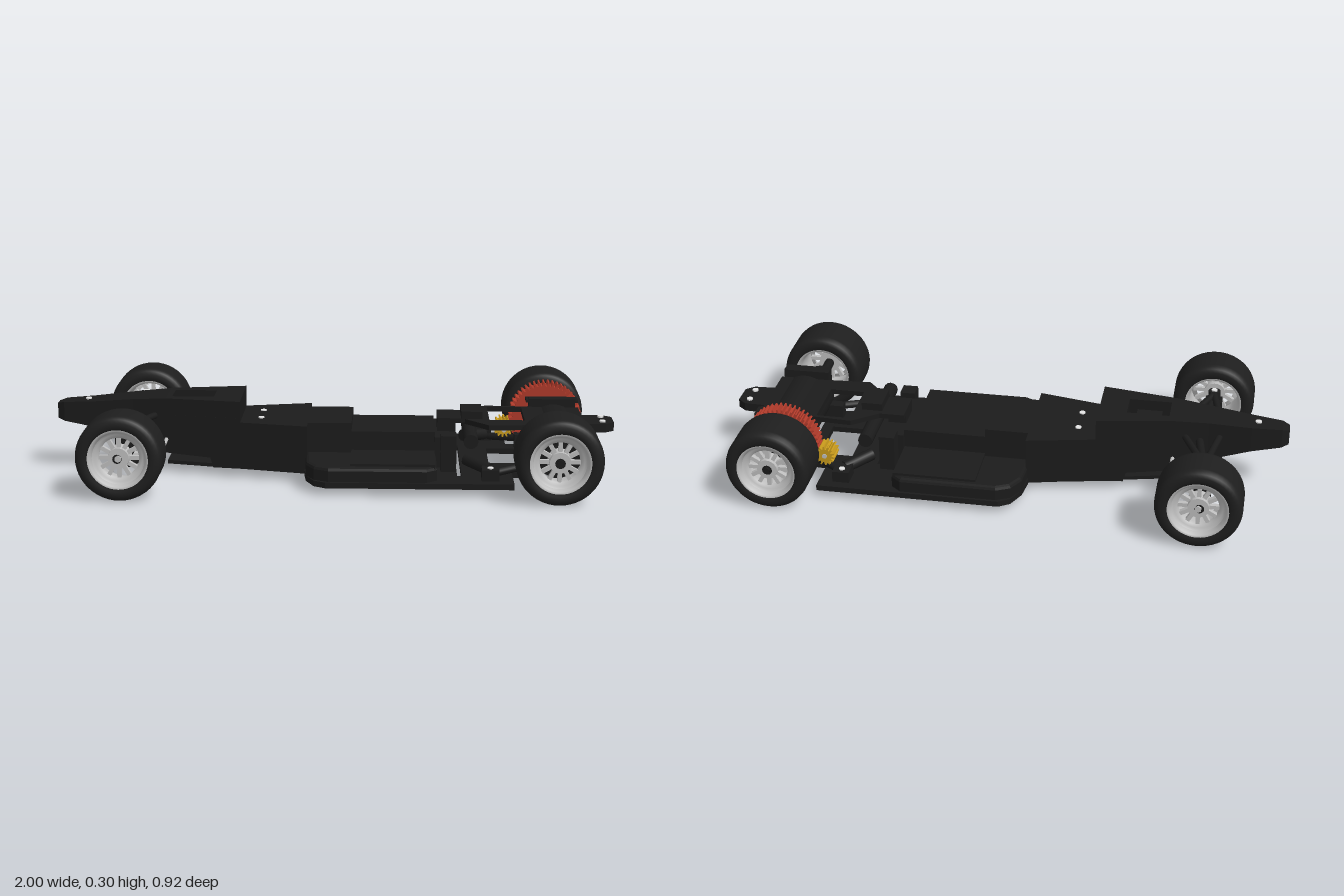
import * as THREE from 'three';

const mat = (name, color, side = THREE.FrontSide) => {
  const m = new THREE.MeshStandardMaterial({ color, side });
  m.name = name;
  return m;
};

export function createModel() {
  const root = new THREE.Group();
  const black = mat('chassis black', 0x1b1b1b);
  const rubber = mat('tyre rubber', 0x1e1e1e);
  const silver = mat('rim silver', 0xbebebe, THREE.DoubleSide);
  const red = mat('gear red', 0xb03a2a);
  const brass = mat('pinion brass', 0xc89a1c);
  const white = mat('screw white', 0xe4e4e4);

  const add = (name, geo, m = black, parent = root) => {
    const mesh = new THREE.Mesh(geo, m);
    mesh.name = name;
    parent.add(mesh);
    return mesh;
  };
  const box = (name, x0, x1, y0, y1, z0, z1) =>
    add(name, new THREE.BoxGeometry(x1 - x0, y1 - y0, z1 - z0))
      .position.set((x0 + x1) / 2, (y0 + y1) / 2, (z0 + z1) / 2);
  // cylinder between two points
  const bar = (name, a, b, r, m = black, n = 12) => {
    const p = new THREE.Vector3(...a), q = new THREE.Vector3(...b);
    const mesh = add(name, new THREE.CylinderGeometry(r, r, p.distanceTo(q), n), m);
    mesh.position.copy(p).add(q).multiplyScalar(0.5);
    mesh.quaternion.setFromUnitVectors(new THREE.Vector3(0, 1, 0), q.sub(p).normalize());
  };
  // horizontal plate from [x, z] outline points; holes run the opposite way round
  const outline = pts => pts.map(([x, z]) => new THREE.Vector2(x, -z));
  const plate = (name, pts, y0, y1, holes = [], m = black, bevel = 0) => {
    const shape = new THREE.Shape(outline(pts));
    holes.forEach(h => shape.holes.push(new THREE.Path(outline(h).reverse())));
    const geo = new THREE.ExtrudeGeometry(shape, {
      depth: y1 - y0 - bevel, bevelEnabled: bevel > 0, bevelSize: bevel,
      bevelThickness: bevel, bevelOffset: -bevel, bevelSegments: 2
    });
    geo.rotateX(-Math.PI / 2).translate(0, y0, 0);
    add(name, geo, m);
  };
  const rect = (x0, x1, z0, z1) => [[x0, z0], [x1, z0], [x1, z1], [x0, z1]];
  // box-section loft along x; rows are [x, halfWidth, bottom, top]
  const loft = (name, rows) => {
    const v = [];
    const rings = rows.map(([x, w, b, t]) => [[x, b, w], [x, t, w], [x, t, -w], [x, b, -w]]);
    const quad = (a, b, c, d) => v.push(...a, ...b, ...c, ...a, ...c, ...d);
    for (let i = 0; i < rings.length - 1; i++)
      for (let k = 0; k < 4; k++) {
        const n = (k + 1) % 4, p = rings[i], q = rings[i + 1];
        quad(p[k], q[k], q[n], p[n]);
      }
    quad(...rings[0]);
    quad(...rings[rings.length - 1].slice().reverse());
    const geo = new THREE.BufferGeometry();
    geo.setAttribute('position', new THREE.Float32BufferAttribute(v, 3));
    geo.computeVertexNormals();
    add(name, geo);
  };
  const screw = (x, y, z) => bar('screw', [x, y - 0.01, z], [x, y + 0.004, z], 0.011, white);

  // Nose and monocoque
  loft('nose', [[-1, 0.02, 0.19, 0.245], [-0.975, 0.035, 0.182, 0.252], [-0.87, 0.05, 0.165, 0.258],
    [-0.72, 0.066, 0.125, 0.272], [-0.6, 0.085, 0.08, 0.28]]);
  loft('tubLower', [[-0.6, 0.085, 0.08, 0.22], [-0.44, 0.112, 0.07, 0.22], [-0.43, 0.114, 0.035, 0.22],
    [-0.33, 0.13, 0.035, 0.22]]);
  plate('cockpitRim', [[-0.6, -0.085], [-0.33, -0.13], [-0.33, 0.13], [-0.6, 0.085]], 0.22, 0.28,
    [rect(-0.58, -0.43, -0.05, 0.05)]);
  box('servo', -0.55, -0.46, 0.22, 0.25, -0.035, 0.035);
  loft('rearDeck', [[-0.33, 0.13, 0.035, 0.205], [-0.09, 0.18, 0.035, 0.205]]);
  box('centreCover', -0.09, 0.065, 0.04, 0.205, -0.125, 0.125);
  box('batteryLid', 0.065, 0.36, 0.04, 0.175, -0.125, 0.125);
  plate('bottomPlate', [[-0.6, -0.06], [-0.3, -0.13], [-0.09, -0.18], [-0.09, 0.18], [-0.3, 0.13], [-0.6, 0.06]], 0.033, 0.046);
  [-0.055, 0.055].forEach(z => screw(-0.26, 0.205, z));
  screw(-0.89, 0.258, 0);

  // Floor pan with slots around the rear T-bar
  plate('floorPan', [[-0.1, -0.18], [-0.09, -0.26], [-0.06, -0.325], [-0.02, -0.35], [0.63, -0.35], [0.63, -0.2],
    [0.72, -0.19], [0.72, 0.19], [0.63, 0.2], [0.63, 0.35], [-0.02, 0.35], [-0.06, 0.325], [-0.09, 0.26], [-0.1, 0.18]],
    0.03, 0.05, [rect(0.555, 0.68, -0.13, 0.07), rect(0.437, 0.452, -0.17, 0.25)]);

  for (const s of [-1, 1]) {
    // Side pods: rounded front piece and flat cover
    plate('sidePod', [[-0.1, 0.12], [-0.09, 0.26], [-0.06, 0.315], [-0.01, 0.34], [0.33, 0.34], [0.365, 0.31], [0.365, 0.12]]
      .map(([x, z]) => [x, z * s]), 0.05, 0.1, [], black, 0.012);
    box('podCover', 0.065, 0.36, 0.09, 0.108, s * 0.22 - 0.095, s * 0.22 + 0.095);

    // Rear pod mounts and links
    box('mountBlock', 0.38, 0.435, 0.05, 0.18, s * 0.17 - 0.03, s * 0.17 + 0.03);
    box('rearMount', 0.52, 0.58, 0.05, 0.09, s * 0.28 - 0.035, s * 0.28 + 0.035);
    screw(0.55, 0.09, s * 0.29);
    bar('sideLink', [0.55, 0.075, s * 0.25], [0.47, 0.09, s * 0.17], 0.022);
    bar('sideLinkRear', [0.56, 0.065, s * 0.26], [0.74, 0.08, s * 0.16], 0.014);
    box('podSideRail', 0.66, 0.9, 0.05, 0.1, s * 0.16 - 0.02, s * 0.16 + 0.02);
    box('motorPlate', 0.71, 0.88, 0.06, 0.235, s * 0.167 - 0.022, s * 0.167 + 0.022);
    box('diffuserFence', 0.78, 0.95, 0.035, 0.12, s * 0.07 - 0.005, s * 0.07 + 0.005);
    screw(0.96, 0.198, s * 0.035);

    // Front suspension
    bar('kingpin', [-0.72, 0.08, s * 0.27], [-0.72, 0.225, s * 0.27], 0.022);
    box('upright', -0.75, -0.69, 0.11, 0.19, s * 0.27 - 0.025, s * 0.27 + 0.025);
    bar('stubAxle', [-0.72, 0.15, s * 0.26], [-0.72, 0.15, s * 0.44], 0.016);
    for (const x of [-0.76, -0.63]) {
      bar('upperArm', [-0.72, 0.215, s * 0.26], [x, 0.215, s * 0.05], 0.012);
      bar('lowerArm', [-0.72, 0.085, s * 0.27], [x + 0.02, 0.085, s * 0.04], 0.013);
    }
    bar('damper', [-0.72, 0.2, s * 0.26], [-0.69, 0.2, s * 0.06], 0.014);
    bar('tieRod', [-0.6, 0.12, s * 0.25], [-0.6, 0.13, s * 0.08], 0.007, silver);
    plate('steeringArm', [[-0.71, 0.24], [-0.71, 0.28], [-0.61, 0.275], [-0.588, 0.26], [-0.59, 0.225], [-0.62, 0.22]]
      .map(([x, z]) => [x, z * s]), 0.112, 0.127, [], silver);
    screw(-0.72, 0.226, s * 0.27);
  }
  box('lowerArmBeam', -0.77, -0.6, 0.075, 0.13, -0.06, 0.06);

  // Rear upper deck, crossbar, motor and tail
  box('bulkhead', 0.36, 0.435, 0.04, 0.16, -0.14, 0.14);
  box('deckMount', 0.455, 0.53, 0.195, 0.235, -0.06, 0.06);
  plate('upperDeck', [[0.37, -0.08], [0.46, -0.08], [0.55, -0.15], [0.72, -0.14], [0.72, 0.14], [0.55, 0.15],
    [0.46, 0.05], [0.37, 0.05]], 0.19, 0.208, [rect(0.555, 0.68, -0.13, 0.07)]);
  bar('crossTube', [0.485, 0.16, -0.2], [0.485, 0.16, 0.2], 0.026);
  box('deckPost', 0.37, 0.435, 0.15, 0.2, -0.05, 0.05);
  bar('motor', [0.8, 0.122, -0.19], [0.8, 0.122, 0.19], 0.094, black, 32);
  box('motorTop', 0.72, 0.89, 0.17, 0.205, -0.145, 0.145);
  box('gearGuard', 0.7, 0.89, 0.222, 0.232, -0.199, -0.145);
  plate('tailMount', [[0.86, -0.07], [0.97, -0.065], [1, -0.04], [1, 0.04], [0.97, 0.065], [0.86, 0.07]], 0.165, 0.196);
  bar('rearAxle', [0.775, 0.15, -0.44], [0.775, 0.15, 0.44], 0.018);
  bar('axleCarrier', [0.775, 0.165, 0.18], [0.775, 0.165, 0.265], 0.035);

  // Gears
  const gear = (name, teeth, r0, r1, depth, hole, m, x, y, z) => {
    const pts = [];
    for (let i = 0; i < teeth; i++)
      [[0, r0], [0.2, r1], [0.5, r1], [0.7, r0]].forEach(([f, r]) => {
        const a = (i + f) / teeth * Math.PI * 2;
        pts.push(new THREE.Vector2(Math.cos(a) * r, Math.sin(a) * r));
      });
    const shape = new THREE.Shape(pts);
    shape.holes.push(new THREE.Path().absarc(0, 0, hole, 0, Math.PI * 2, true));
    add(name, new THREE.ExtrudeGeometry(shape, { depth, bevelEnabled: false }), m).position.set(x, y, z);
  };
  gear('spurGear', 48, 0.12, 0.134, 0.056, 0.03, red, 0.775, 0.152, -0.254);
  gear('pinion', 14, 0.026, 0.037, 0.065, 0.009, brass, 0.622, 0.115, -0.255);
  bar('motorShaft', [0.622, 0.115, -0.257], [0.622, 0.115, -0.15], 0.009, silver);
  bar('gearRetainer', [0.775, 0.152, -0.2], [0.775, 0.152, -0.189], 0.07, brass, 32);
  bar('gearHub', [0.775, 0.152, -0.3], [0.775, 0.152, -0.254], 0.092, silver, 32);

  // Wheels: outer face towards +z before turning
  const wheel = (name, x, z, w, nut) => {
    const g = new THREE.Group();
    g.name = name;
    const h = w / 2;
    const lathe = pts =>
      new THREE.LatheGeometry(pts.map(p => new THREE.Vector2(...p)), 48).rotateX(Math.PI / 2);
    add('tyre', lathe([[0.1, -h + 0.006], [0.112, -h], [0.128, -h], [0.14, -h + 0.006], [0.147, -h + 0.016],
      [0.149, -h + 0.028], [0.149, h - 0.028], [0.147, h - 0.016], [0.14, h - 0.006], [0.128, h], [0.112, h],
      [0.1, h - 0.006], [0.1, -h + 0.006]]), rubber, g);
    add('rimBarrel', lathe([[0.104, -h + 0.001], [0.096, -h + 0.002], [0.09, -h + 0.025], [0.086, 0],
      [0.09, h - 0.02], [0.096, h - 0.002], [0.104, h - 0.001]]), silver, g);
    add('rimLip', lathe([[0.09, h - 0.02], [0.082, h - 0.028], [0.07, h - 0.03], [0.068, h - 0.042]]), silver, g);
    add('hub', new THREE.CylinderGeometry(0.036, 0.04, 0.05, 24).rotateX(Math.PI / 2), silver, g).position.z = h - 0.045;
    add('hubNut', new THREE.CylinderGeometry(0.012, 0.012, 0.012, 6).rotateX(Math.PI / 2), nut, g).position.z = h - 0.016;
    for (let i = 0; i < 12; i++) {
      const spoke = add('spoke', new THREE.BoxGeometry(0.05, 0.014, 0.016).translate(0.055, 0, 0), silver, g);
      spoke.position.z = h - 0.04;
      spoke.rotation.z = i / 12 * Math.PI * 2;
    }
    g.position.set(x, 0.152, z);
    if (z < 0) g.rotation.y = Math.PI;
    root.add(g);
  };
  for (const s of [-1, 1]) {
    wheel('frontWheel', -0.716, s * 0.38, 0.155, silver);
    wheel('rearWheel', 0.775, s * 0.371, 0.177, black);
  }
  return root;
}
